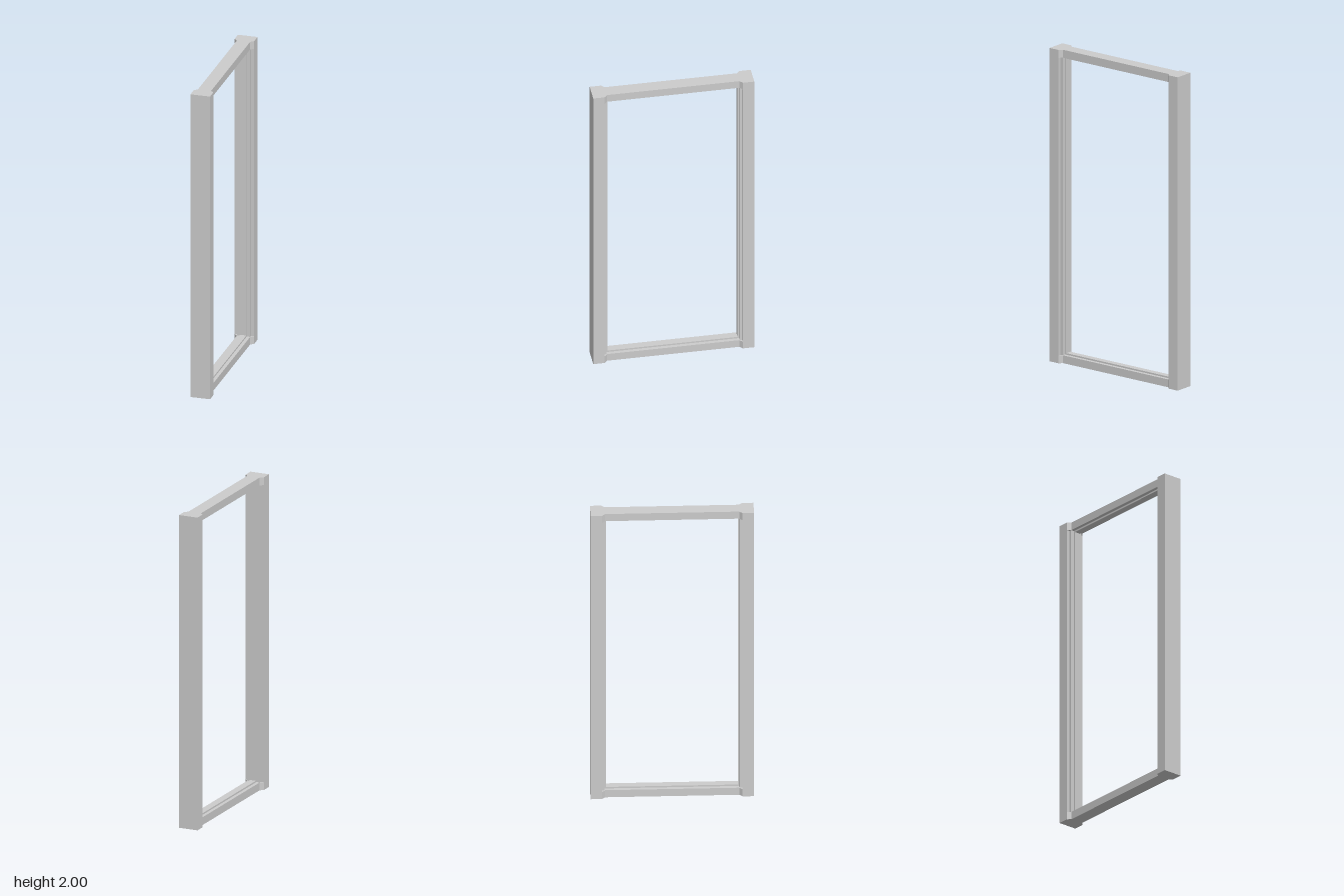
import * as THREE from 'three';

const material = new THREE.MeshStandardMaterial({ color: 0xcccccc, flatShading: true });

// Main dimensions
const H = 2, POST_X = 0.0625, RAIL_X = 0.042, STOP_X = 0.02;
const POST_IN = 0.43, JAMB_IN = 0.413, STOP_IN = 0.404;
const RAIL_H = 0.05, STOP_H = 0.01;

function box(name, w, h, d, x, y, z) {
  const mesh = new THREE.Mesh(new THREE.BoxGeometry(w, h, d), material);
  mesh.name = name;
  mesh.position.set(x, y, z);
  return mesh;
}

// Horizontal section with bevelled shoulders that widens from rail to post
function shoulder(side, y) {
  const s = new THREE.Shape();
  s.moveTo(-POST_X, -POST_IN);
  s.lineTo(POST_X, -POST_IN);
  s.lineTo(RAIL_X, -0.41);
  s.lineTo(-RAIL_X, -0.41);
  s.closePath();
  const g = new THREE.ExtrudeGeometry(s, { depth: RAIL_H, bevelEnabled: false });
  g.rotateX(-Math.PI / 2);
  if (side < 0) g.rotateY(Math.PI);
  const mesh = new THREE.Mesh(g, material);
  mesh.name = 'shoulder';
  mesh.position.y = y;
  return mesh;
}

export function createModel() {
  const group = new THREE.Group();
  group.name = 'doorFrame';

  // Posts with jamb, stop strip and bevelled shoulders at both ends
  for (const side of [1, -1]) {
    const post = new THREE.Group();
    post.name = side > 0 ? 'frontPost' : 'backPost';
    const inner = H - 2 * RAIL_H;
    post.add(
      box('post', 2 * POST_X, H, 0.5 - POST_IN, 0, H / 2, side * (0.5 + POST_IN) / 2),
      box('jamb', 2 * RAIL_X, inner, POST_IN - JAMB_IN, 0, H / 2, side * (POST_IN + JAMB_IN) / 2),
      box('sideStop', 2 * STOP_X, inner, JAMB_IN - STOP_IN, 0, H / 2, side * (JAMB_IN + STOP_IN) / 2),
      shoulder(side, 0),
      shoulder(side, H - RAIL_H)
    );
    group.add(post);
  }

  // Sill and header, each with a raised stop strip facing the opening
  for (const top of [false, true]) {
    const at = (y) => (top ? H - y : y);
    const rail = new THREE.Group();
    rail.name = top ? 'header' : 'sill';
    rail.add(
      box('rail', 2 * RAIL_X, RAIL_H, 2 * POST_IN, 0, at(RAIL_H / 2), 0),
      box('railStop', 2 * STOP_X, STOP_H, 2 * STOP_IN, 0, at(RAIL_H + STOP_H / 2), 0)
    );
    group.add(rail);
  }
  return group;
}
